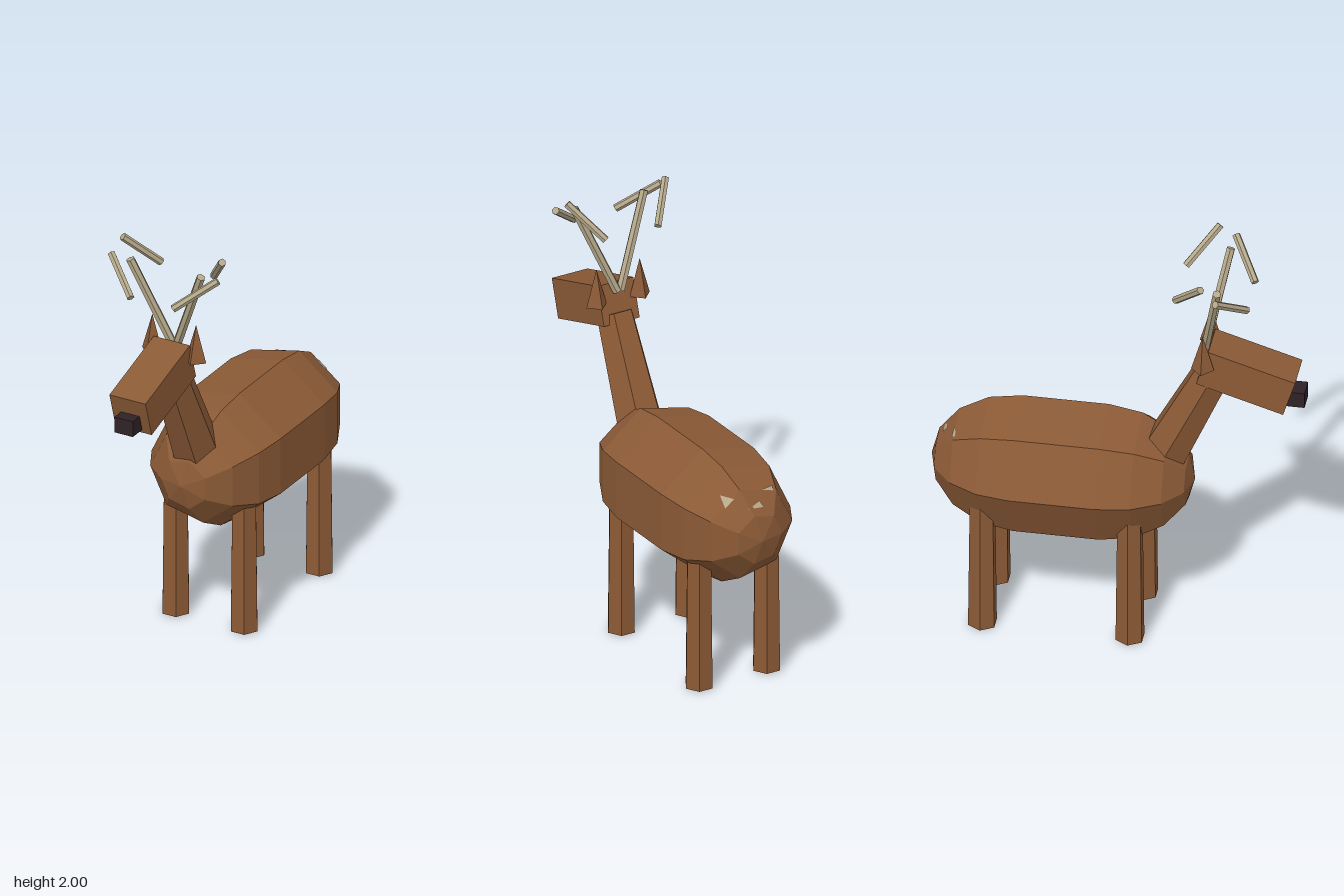
import * as THREE from 'three';

const flat = (name, color) => {
  const m = new THREE.MeshStandardMaterial({ color, flatShading: true, side: THREE.DoubleSide });
  m.name = name;
  return m;
};

export function createModel() {
  const fur = flat('brown fur', 0x8b5a36);
  const horn = flat('pale horn', 0xb5a88a);
  const dark = flat('dark nose', 0x2f2226);

  const model = new THREE.Group();
  model.name = 'deer';
  const add = (name, geometry, material, x = 0, y = 0, z = 0) => {
    const mesh = new THREE.Mesh(geometry, material);
    mesh.name = name;
    mesh.position.set(x, y, z);
    model.add(mesh);
    return mesh;
  };
  // six-sided post with corners towards the left and right
  const post = (rTop, rBottom, h) => new THREE.CylinderGeometry(rTop, rBottom, h, 6).rotateY(Math.PI / 6);
  // six-sided rod between two points
  const rod = (name, a, b, rA, rB) => {
    const dir = b.clone().sub(a);
    const mid = a.clone().add(b).multiplyScalar(0.5);
    const mesh = add(name, post(rB, rA, dir.length()), horn, mid.x, mid.y, mid.z);
    mesh.quaternion.setFromUnitVectors(new THREE.Vector3(0, 1, 0), dir.normalize());
  };

  // Body: seven-sided capsule lying along z, slimmed in x and y
  const bodyGeo = new THREE.CapsuleGeometry(0.4, 0.385, 4, 7).rotateX(Math.PI / 2).scale(0.785, 0.785, 1);
  const body = add('body', bodyGeo, fur, 0, 0.775, -0.25);

  // Neck and head
  add('neck', post(0.09, 0.117, 0.6), fur, 0, 1.106, 0.298).rotation.x = 0.447;
  add('head', new THREE.BoxGeometry(0.185, 0.185, 0.41), fur, 0, 1.384, 0.586).rotation.x = 0.3;
  add('nose', new THREE.BoxGeometry(0.094, 0.076, 0.08), dark, 0, 1.29, 0.803);

  for (const s of [-1, 1]) {
    const side = s > 0 ? 'left' : 'right';
    const at = (x, y, z) => new THREE.Vector3(s * x, y, z);

    // Ears
    add(side + 'Ear', new THREE.ConeGeometry(0.052, 0.178, 4), fur, s * 0.112, 1.541, 0.396);

    // Antlers: a beam and two loose tines
    rod(side + 'AntlerBeam', at(0.008, 1.5, 0.39), at(0.181, 1.917, 0.472), 0.021, 0.02);
    rod(side + 'FrontTine', at(0.108, 1.795, 0.594), at(0.273, 1.925, 0.48), 0.018, 0.018);
    rod(side + 'BackTine', at(0.135, 1.83, 0.278), at(0.255, 1.983, 0.412), 0.018, 0.018);

    // Legs with dark hoof soles
    for (const [end, z] of [['Front', 0.08], ['Back', -0.584]]) {
      add(side + end + 'Leg', post(0.06, 0.068, 0.68), fur, s * 0.175, 0.344, z);
      add(side + end + 'Hoof', post(0.052, 0.052, 0.04), dark, s * 0.175, 0.02, z);
    }
  }

  // Tail: three pale slivers laid on the rump
  model.updateMatrixWorld(true);
  const ray = new THREE.Raycaster();
  const tips = [
    [-0.128, -0.71], [-0.118, -0.733], [-0.058, -0.73],
    [-0.035, -0.786], [0.045, -0.786], [-0.025, -0.768],
    [0.085, -0.733], [0.13, -0.733], [0.125, -0.679],
  ];
  const points = [];
  for (const [x, z] of tips) {
    ray.set(new THREE.Vector3(x, 3, z), new THREE.Vector3(0, -1, 0));
    const hit = ray.intersectObject(body)[0];
    points.push(x, (hit ? hit.point.y : 0.96) + 0.007, z);
  }
  const tail = new THREE.BufferGeometry();
  tail.setAttribute('position', new THREE.Float32BufferAttribute(points, 3));
  tail.computeVertexNormals();
  add('tail', tail, horn);

  // the whole figure sits slightly to one side because the body has an odd side count
  model.children.forEach((part) => { part.position.x += 0.007; });
  return model;
}
